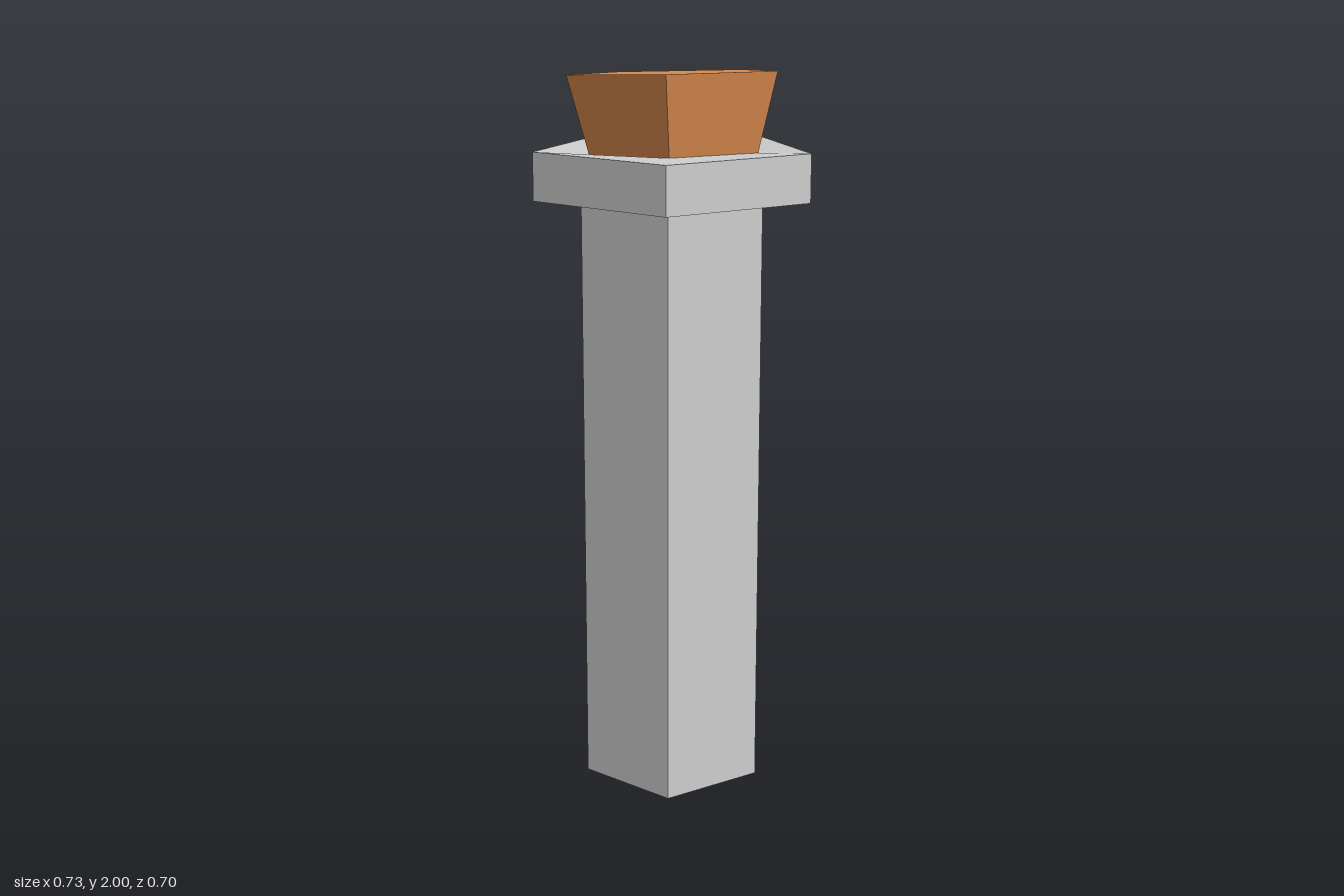
import * as THREE from 'three';

// Five corners of a pentagon pointing to the back, at height y
function pentagon(radius, y) {
  return Array.from({ length: 5 }, (_, i) => {
    const a = Math.PI + (i * Math.PI * 2) / 5;
    return new THREE.Vector3(Math.sin(a) * radius, y, Math.cos(a) * radius);
  });
}

// Flat-sided skin through rings listed from bottom to top, with optional end caps
function loft(rings, capBottom, capTop) {
  const pos = [];
  const tri = (...pts) => pts.forEach((p) => pos.push(p.x, p.y, p.z));
  for (let r = 0; r < rings.length - 1; r++) {
    const lo = rings[r], hi = rings[r + 1];
    for (let i = 0; i < 5; i++) {
      const j = (i + 1) % 5;
      tri(lo[i], lo[j], hi[j]);
      tri(lo[i], hi[j], hi[i]);
    }
  }
  const first = rings[0], last = rings[rings.length - 1];
  for (let i = 1; i < 4; i++) {
    if (capBottom) tri(first[0], first[i + 1], first[i]);
    if (capTop) tri(last[0], last[i], last[i + 1]);
  }
  const geo = new THREE.BufferGeometry();
  geo.setAttribute('position', new THREE.Float32BufferAttribute(pos, 3));
  geo.computeVertexNormals();
  return geo;
}

export function createModel() {
  const group = new THREE.Group();
  const grey = new THREE.MeshStandardMaterial({ name: 'light grey', color: 0xcecece });
  const orange = new THREE.MeshStandardMaterial({ name: 'copper orange', color: 0xda8a4e });

  const add = (name, geometry, material) => {
    const mesh = new THREE.Mesh(geometry, material);
    mesh.name = name;
    group.add(mesh);
  };
  const place = (ring, x, z) => ring.map((p) => p.add(new THREE.Vector3(x, 0, z)));

  // Tall shaft
  const shaft = [0, 1.66].map((y) => place(pentagon(0.254, y), -0.003, 0.038));
  add('shaft', loft(shaft, true, false), grey);

  // Flared head, slightly tilted and twisted
  const tilt = new THREE.Matrix4()
    .makeRotationFromEuler(new THREE.Euler(-0.057, -0.016, -0.014))
    .setPosition(0, 1.984, 0.036);
  const headBase = pentagon(0.235, -0.211).map((p) => p.applyMatrix4(tilt));
  const headTop = pentagon(0.291, 0).map((p) => p.applyMatrix4(tilt));
  add('head', loft([headBase, headTop], false, true), orange);

  // Collar, its upper face running in to the base of the head
  const collar = [1.655, 1.785].map((y) => place(pentagon(0.385, y), 0, 0.036));
  add('collar', loft([...collar, headBase], true, false), grey);

  return group;
}
